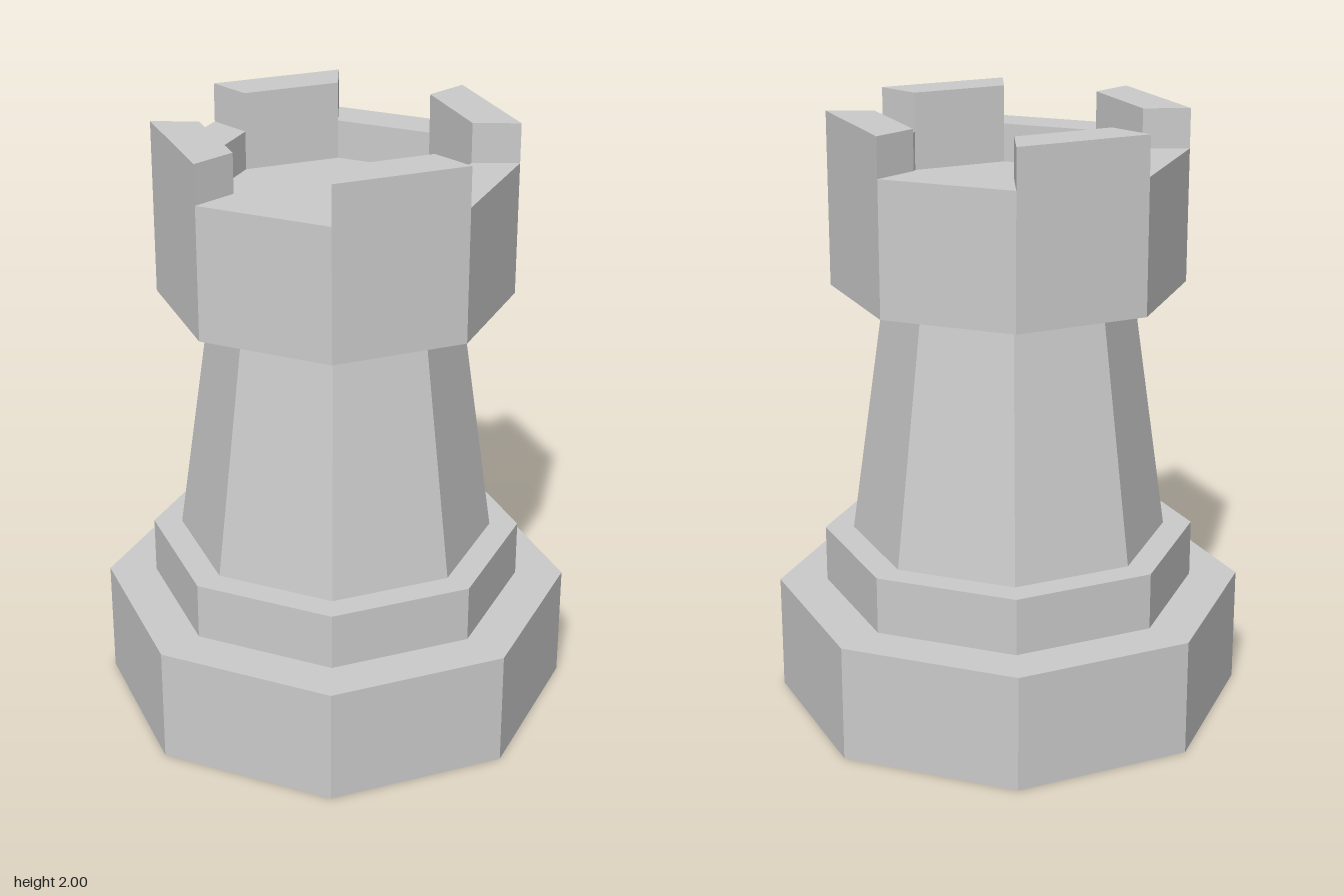
import * as THREE from 'three';

const SIDES = 8;

export function createModel() {
  const group = new THREE.Group();
  const material = new THREE.MeshStandardMaterial({ color: 0xcccccc, flatShading: true });

  const add = (name, geometry) => {
    const mesh = new THREE.Mesh(geometry, material);
    mesh.name = name;
    group.add(mesh);
    return mesh;
  };

  // Octagonal drum between two heights
  const drum = (name, rBottom, rTop, y0, y1) =>
    add(name, new THREE.CylinderGeometry(rTop, rBottom, y1 - y0, SIDES).translate(0, (y0 + y1) / 2, 0));

  drum('base', 0.78, 0.78, 0, 0.39);
  drum('plinth', 0.62, 0.62, 0.39, 0.58);
  drum('shaft', 0.525, 0.41, 0.58, 1.39);

  // Crown: flared underside, outer wall, rim and sunken floor
  const outer = 0.58, inner = 0.427, rimY = 1.87, topY = 2, floorY = 1.74;
  const profile = [
    [0, 1.39], [0.41, 1.39], [outer, 1.43], [outer, rimY], [inner, rimY], [inner, floorY], [0, floorY],
  ].map(([r, y]) => new THREE.Vector2(r, y));
  add('crown', new THREE.LatheGeometry(profile, SIDES));

  // Merlons on every second side of the crown
  const corner = (r, a) => new THREE.Vector2(r * Math.sin(a), -r * Math.cos(a));
  const a = -Math.PI / 4;
  const section = new THREE.Shape([corner(outer, a), corner(outer, 0), corner(inner, 0), corner(inner, a)]);
  const merlon = new THREE.ExtrudeGeometry(section, { depth: topY - rimY, bevelEnabled: false })
    .rotateX(-Math.PI / 2)
    .translate(0, rimY, 0);
  for (let i = 0; i < 4; i++) add('merlon' + (i + 1), merlon).rotation.y = (i * Math.PI) / 2;

  return group;
}
